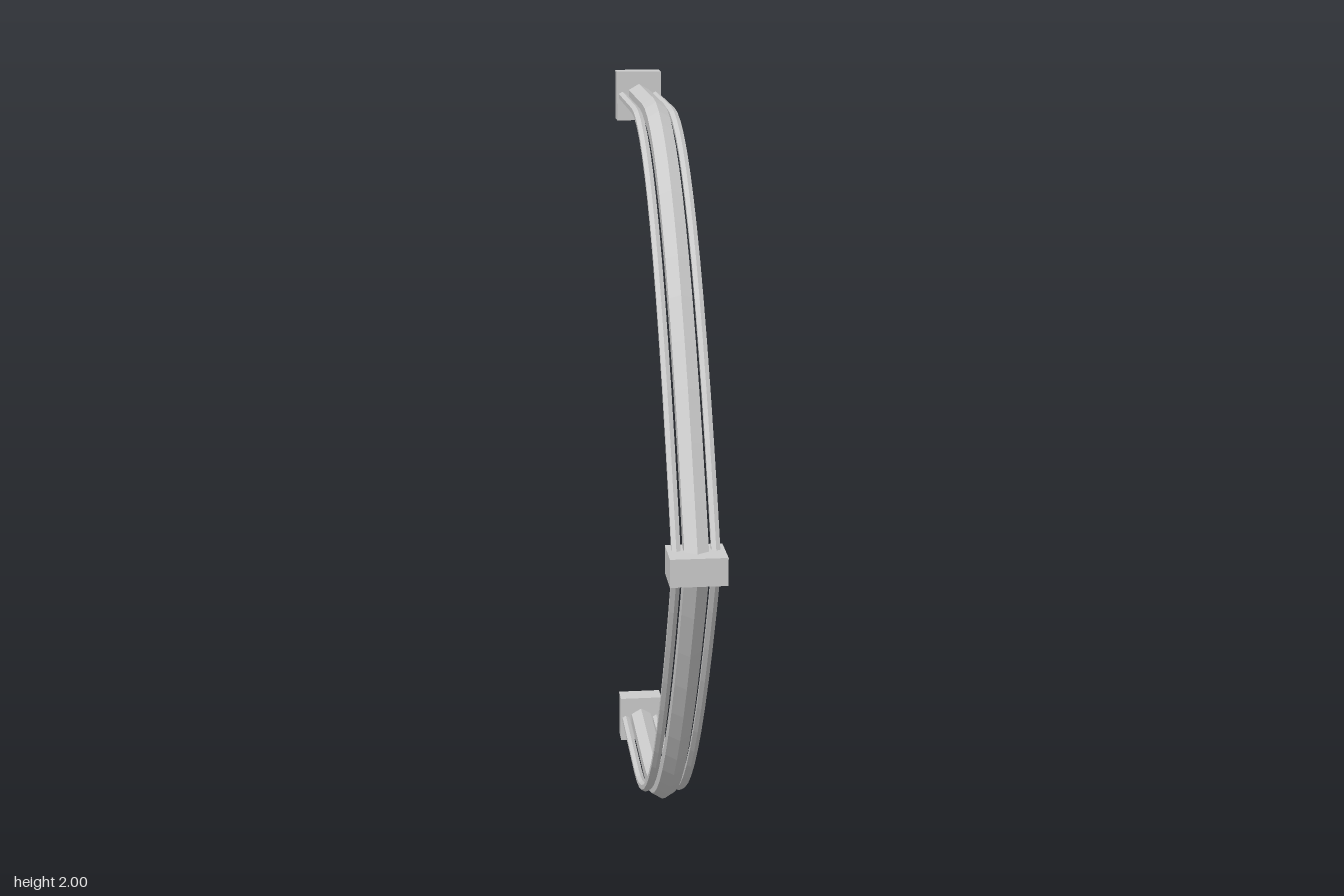
import * as THREE from 'three';

const material = new THREE.MeshStandardMaterial({ color: 0xcccccc, flatShading: true });

// Path of one arm in the y-z plane: a parabolic bend, then a straight run to the back
function armPath(side) {
  const curve = new THREE.QuadraticBezierCurve3(
    new THREE.Vector3(0, 1, 0.683),
    new THREE.Vector3(0, 1 + side * 0.933, 0.2),
    new THREE.Vector3(0, 1 + side * 0.933, -0.29)
  );
  const rings = [];
  const steps = 14;
  for (let i = 0; i <= steps; i++) {
    rings.push({ point: curve.getPoint(i / steps), tangent: curve.getTangent(i / steps) });
  }
  rings.push({
    point: new THREE.Vector3(0, 1 + side * 0.933, -0.7),
    tangent: new THREE.Vector3(0, 0, -1),
  });
  return rings;
}

// Six-sided rod swept along the path; its ends are buried in the blocks
function rod(rings, radius, offsetX, name) {
  const sides = 6;
  const positions = [];
  const index = [];
  rings.forEach(({ point, tangent }, i) => {
    for (let j = 0; j < sides; j++) {
      const a = (j / sides) * Math.PI * 2;
      const n = Math.cos(a) * radius;
      positions.push(
        offsetX + Math.sin(a) * radius,
        point.y - tangent.z * n,
        point.z + tangent.y * n
      );
      if (i < rings.length - 1) {
        const a0 = i * sides + j;
        const b0 = i * sides + ((j + 1) % sides);
        index.push(a0, b0, a0 + sides, b0, b0 + sides, a0 + sides);
      }
    }
  });
  let geometry = new THREE.BufferGeometry();
  geometry.setAttribute('position', new THREE.Float32BufferAttribute(positions, 3));
  geometry.setIndex(index);
  geometry = geometry.toNonIndexed();
  geometry.computeVertexNormals();
  const mesh = new THREE.Mesh(geometry, material);
  mesh.name = name;
  return mesh;
}

function block(w, h, d, y, z, name) {
  const mesh = new THREE.Mesh(new THREE.BoxGeometry(w, h, d), material);
  mesh.position.set(0, y, z);
  mesh.name = name;
  return mesh;
}

export function createModel() {
  const model = new THREE.Group();
  model.name = 'bentRail';

  // Upper and lower arms, each a thick rod flanked by two thin ones
  for (const side of [1, -1]) {
    const arm = new THREE.Group();
    arm.name = side > 0 ? 'upperArm' : 'lowerArm';
    const rings = armPath(side);
    arm.add(rod(rings, 0.033, 0, 'mainRod'));
    arm.add(rod(rings, 0.012, 0.046, 'leftSideRod'));
    arm.add(rod(rings, 0.012, -0.046, 'rightSideRod'));
    arm.add(block(0.122, 0.134, 0.06, 1 + side * 0.933, -0.704, 'endBlock'));
    model.add(arm);
  }

  // Joint where the arms meet
  model.add(block(0.134, 0.067, 0.11, 1, 0.68, 'jointBlock'));
  return model;
}
